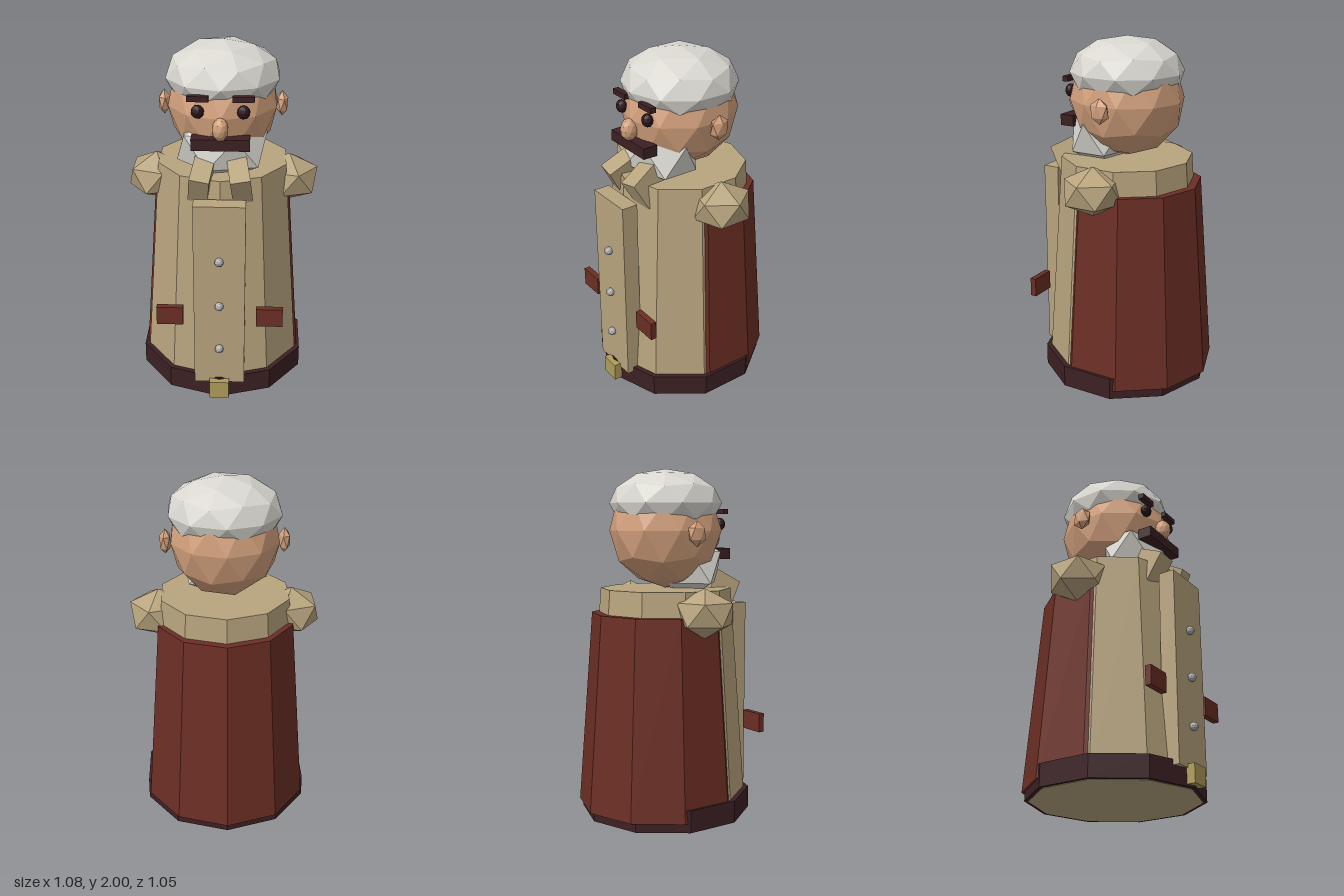
import * as THREE from 'three';

const mat = (name, color) => {
  const m = new THREE.MeshStandardMaterial({ color, flatShading: true });
  m.name = name;
  return m;
};

export function createModel() {
  const root = new THREE.Group();
  root.name = 'beardedManInCoat';

  const coat = mat('khaki', 0xb8a47e);
  const cape = mat('darkRed', 0x6b2e24);
  const brown = mat('darkBrown', 0x3c2023);
  const skin = mat('skin', 0xd2a07c);
  const white = mat('whiteHair', 0xd9d7d0);
  const silver = mat('silver', 0xb0b0b0);
  const gold = mat('gold', 0xb09c5a);
  const dark = mat('eyeDark', 0x2a1418);

  const add = (name, geometry, material, x, y, z) => {
    const mesh = new THREE.Mesh(geometry, material);
    mesh.name = name;
    mesh.position.set(x, y, z);
    root.add(mesh);
    return mesh;
  };

  const box = (name, material, size, pos) =>
    add(name, new THREE.BoxGeometry(...size), material, ...pos);

  // ten-sided tapered cylinder between two heights
  const decagon = (name, material, rTop, rBottom, y0, y1, z = 0) =>
    add(name, new THREE.CylinderGeometry(rTop, rBottom, y1 - y0, 10), material, 0, (y0 + y1) / 2, z);

  // faceted ball standing on a vertex, stretched to three radii
  const ball = (name, material, detail, radii, pos) => {
    const g = new THREE.IcosahedronGeometry(1, detail);
    g.rotateZ(-Math.atan(2 / (1 + Math.sqrt(5))));
    g.scale(...radii);
    return add(name, g, material, ...pos);
  };

  // coat, hem and cape
  decagon('coatBody', coat, 0.378, 0.475, 0, 1.32);
  decagon('hem', brown, 0.495, 0.495, 0.003, 0.13);
  decagon('cape', cape, 0.4, 0.485, 0.055, 1.18, -0.035);

  // front placket with buttons and buckle
  box('placket', coat, [0.285, 1.12, 0.095], [0, 0.66, 0.438]);
  for (const y of [0.335, 0.615, 0.895])
    ball('button', silver, 1, [0.025, 0.025, 0.025], [0, y, 0.498]);
  box('buckle', gold, [0.112, 0.106, 0.06], [0, 0.068, 0.495]);

  // head, hair and beard
  ball('head', skin, 1, [0.313, 0.33, 0.33], [0, 1.65, 0]);
  ball('hair', white, 1, [0.325, 0.195, 0.325], [0, 1.805, 0]);
  ball('beard', white, 0, [0.28, 0.2, 0.2], [0, 1.44, 0.14]);
  ball('nose', skin, 1, [0.045, 0.065, 0.05], [0, 1.6, 0.336]);
  box('moustache', brown, [0.315, 0.063, 0.085], [0, 1.515, 0.308]);

  // paired parts
  for (const s of [-1, 1]) {
    ball('shoulder', coat, 0, [0.18, 0.141, 0.18], [s * 0.38, 1.2, 0]);
    ball('ear', skin, 0, [0.036, 0.073, 0.061], [s * 0.33, 1.635, -0.017]);
    ball('eye', dark, 1, [0.036, 0.038, 0.03], [s * 0.122, 1.685, 0.3]);
    box('eyebrow', brown, [0.115, 0.03, 0.035], [s * 0.121, 1.758, 0.3]);
    box('pocket', cape, [0.15, 0.11, 0.035], [s * 0.281, 0.523, 0.442]);
    const flap = box('collarFlap', coat, [0.11, 0.18, 0.17], [s * 0.105, 1.3, 0.31]);
    flap.rotation.set(0.5, s * 0.15, s * 0.08);
  }

  return root;
}
